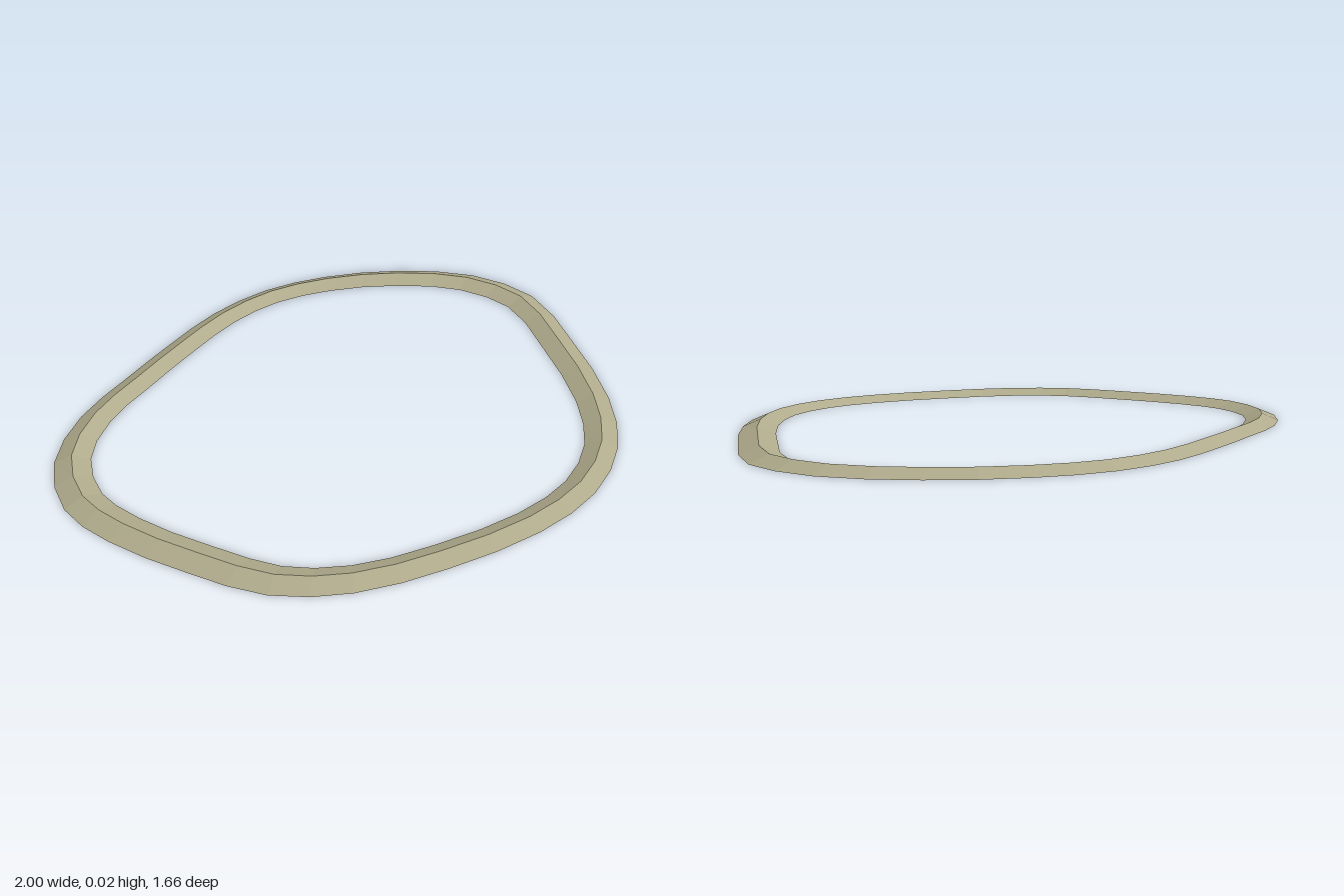
import * as THREE from 'three';

const SEGMENTS = 42;
const HEIGHT = 0.024;
// widths of the band where it runs across x and across z
const WIDTH_X = 0.13;
const WIDTH_Z = 0.102;

// outer edge of the ring on the ground, as x, z pairs
const OUTLINE = [
  [0.11, -0.83], [0.36, -0.80], [0.59, -0.69], [0.81, -0.50], [0.97, -0.25],
  [0.985, 0.02], [0.81, 0.31], [0.58, 0.60], [0.36, 0.765], [0.11, 0.83],
  [-0.15, 0.80], [-0.45, 0.685], [-0.70, 0.54], [-0.86, 0.36], [-0.94, 0.12],
  [-0.995, -0.155], [-0.985, -0.365], [-0.86, -0.57], [-0.64, -0.70],
  [-0.395, -0.755], [-0.145, -0.80],
];

// cross-section: inset from the outer edge (0 to 1) and height
const SECTION = [[0, 0], [0.5, HEIGHT], [1, 0]];

function ringGeometry() {
  const curve = new THREE.CatmullRomCurve3(
    OUTLINE.map(([x, z]) => new THREE.Vector3(x, 0, z)), true, 'centripetal');
  const positions = [];
  const indices = [];
  const rows = SECTION.length;
  for (let i = 0; i < SEGMENTS; i++) {
    const p = curve.getPoint(i / SEGMENTS);
    const t = curve.getTangent(i / SEGMENTS);
    for (const [inset, y] of SECTION) {
      positions.push(p.x - t.z * WIDTH_X * inset, y, p.z + t.x * WIDTH_Z * inset);
    }
    for (let j = 0; j < rows - 1; j++) {
      const a = i * rows + j;
      const b = ((i + 1) % SEGMENTS) * rows + j;
      indices.push(a, a + 1, b, b, a + 1, b + 1);
    }
  }
  const indexed = new THREE.BufferGeometry();
  indexed.setAttribute('position', new THREE.Float32BufferAttribute(positions, 3));
  indexed.setIndex(indices);
  const geometry = indexed.toNonIndexed();
  geometry.computeVertexNormals();
  return geometry;
}

export function createModel() {
  const group = new THREE.Group();
  group.name = 'ridgedRing';
  // open underneath: only the two slopes meeting at the ridge
  const material = new THREE.MeshStandardMaterial({
    color: 0xb0ab8c, flatShading: true, side: THREE.DoubleSide,
  });
  const rim = new THREE.Mesh(ringGeometry(), material);
  rim.name = 'rim';
  group.add(rim);
  return group;
}
